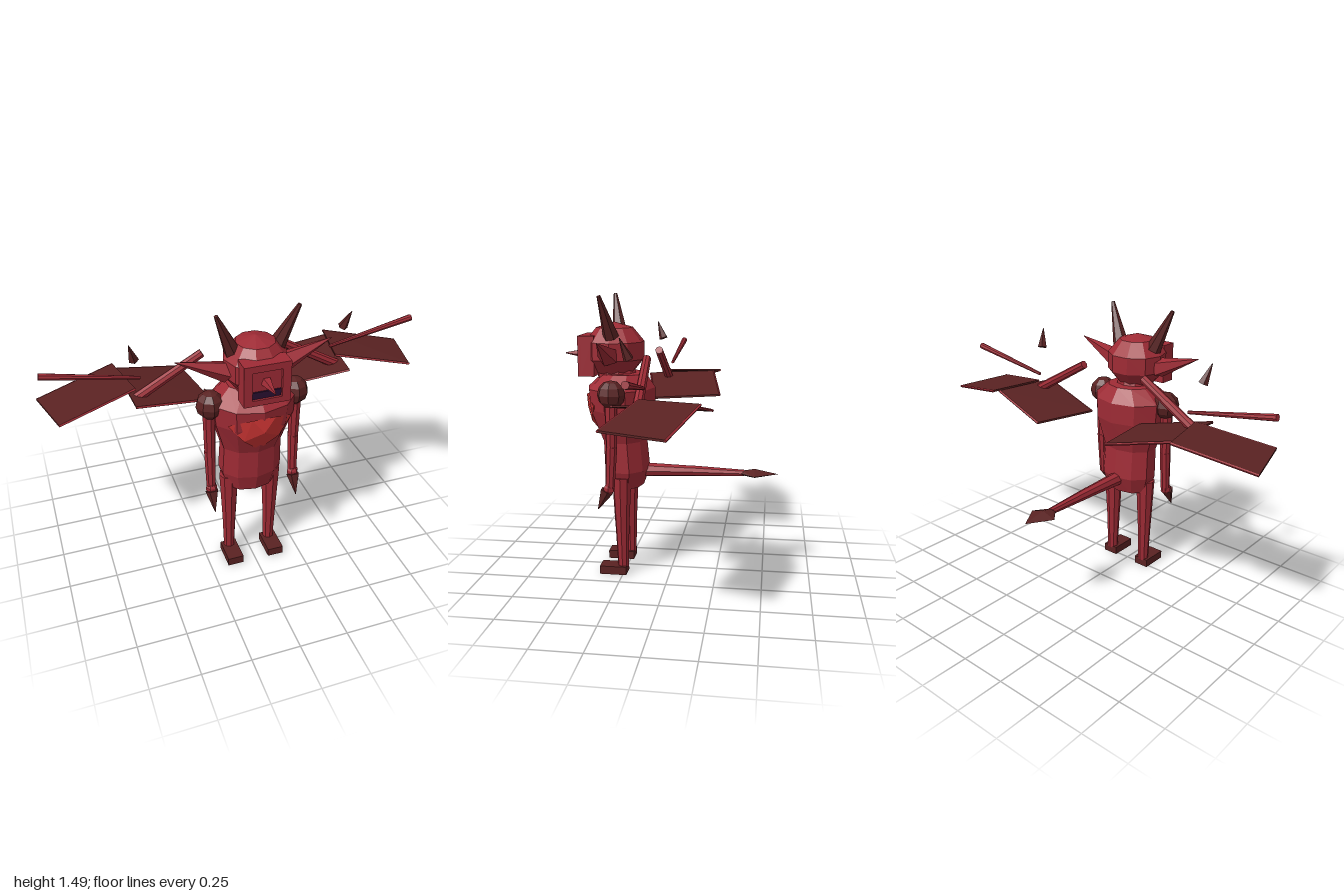
import * as THREE from 'three';
import { ConvexGeometry } from 'three/addons/geometries/ConvexGeometry.js';

const V = (x, y, z) => new THREE.Vector3(x, y, z);

export function createModel() {
  const root = new THREE.Group();
  root.name = 'wingedImp';
  const material = (name, color) => {
    const m = new THREE.MeshStandardMaterial({ color });
    m.name = name;
    m.flatShading = true;
    return m;
  };
  const skin = material('crimson skin', 0x9e2b35);
  const dark = material('dark maroon', 0x5a2222);
  const bright = material('bright red', 0xcc3433);
  const black = material('mouth purple', 0x2a1030);

  const add = (name, geo, mat, x = 0, y = 0, z = 0) => {
    const mesh = new THREE.Mesh(geo, mat);
    mesh.name = name;
    mesh.position.set(x, y, z);
    root.add(mesh);
    return mesh;
  };
  const box = (name, w, h, d, mat, x, y, z) => add(name, new THREE.BoxGeometry(w, h, d), mat, x, y, z);
  // Tapered rod from point a to point b
  const rod = (name, a, b, ra, rb, mat, sides = 8) => {
    const dir = b.clone().sub(a);
    const mesh = add(name, new THREE.CylinderGeometry(rb, ra, dir.length(), sides), mat);
    mesh.position.copy(a).addScaledVector(dir, 0.5);
    mesh.quaternion.setFromUnitVectors(V(0, 1, 0), dir.normalize());
    return mesh;
  };

  // Torso: elliptical rings [y, half width, half depth, centre z]
  const rings = [
    [0.47, 0.001, 0.001, 0.25], [0.475, 0.135, 0.095, 0.25], [0.57, 0.165, 0.125, 0.245],
    [0.73, 0.16, 0.12, 0.255], [0.9, 0.212, 0.178, 0.267], [1.01, 0.22, 0.182, 0.27],
    [1.085, 0.13, 0.115, 0.255], [1.09, 0.001, 0.001, 0.26],
  ];
  const torso = new THREE.LatheGeometry(rings.map(r => new THREE.Vector2(r[1], r[0])), 10);
  const p = torso.attributes.position;
  for (let i = 0; i < p.count; i++) {
    const [, rx, rz, cz] = rings[i % rings.length];
    p.setZ(i, p.getZ(i) * rz / rx + cz);
  }
  torso.computeVertexNormals();
  add('torso', torso, skin);

  // Faceted chest patch
  const patch = [V(0, 0.9, 0.458), V(0, 0.75, 0.378), V(0, 0.86, 0.36)];
  for (const s of [-1, 1]) {
    patch.push(V(s * 0.165, 0.93, 0.388), V(s * 0.06, 0.975, 0.447), V(s * 0.09, 0.84, 0.415));
  }
  add('chestPatch', new ConvexGeometry(patch), bright);

  // Head and face
  add('head', new THREE.SphereGeometry(0.165, 10, 5), skin, 0, 1.205, 0.305).scale.y = 0.89;
  rod('neck', V(0, 1.04, 0.29), V(0, 1.1, 0.3), 0.11, 0.1, skin, 10);
  box('muzzle', 0.23, 0.21, 0.07, skin, 0, 1.18, 0.427);
  const frame = new THREE.Shape();
  frame.moveTo(-0.115, -0.105).lineTo(0.115, -0.105).lineTo(0.115, 0.105).lineTo(-0.115, 0.105);
  const hole = new THREE.Path();
  hole.moveTo(-0.073, -0.075).lineTo(-0.073, 0.07).lineTo(0.073, 0.07).lineTo(0.073, -0.075);
  frame.holes.push(hole);
  add('faceFrame', new THREE.ExtrudeGeometry(frame, { depth: 0.016, bevelEnabled: false }),
    skin, 0, 1.18, 0.462);
  box('mouth', 0.14, 0.035, 0.008, black, 0, 1.125, 0.466);
  rod('nose', V(0, 1.185, 0.46), V(0, 1.185, 0.572), 0.028, 0.003, skin, 5);

  // Tail: two tapered segments and a flat diamond tip
  rod('tailBase', V(0, 0.555, 0.17), V(0, 0.557, -0.12), 0.04, 0.028, skin);
  rod('tailEnd', V(0, 0.557, -0.1), V(0, 0.555, -0.39), 0.03, 0.018, skin);
  add('tailTip', new ConvexGeometry([
    V(0, 0.555, -0.57), V(0.078, 0.555, -0.445), V(-0.078, 0.555, -0.445),
    V(0, 0.58, -0.445), V(0, 0.53, -0.445),
    V(0.02, 0.555, -0.375), V(-0.02, 0.555, -0.375), V(0, 0.567, -0.375), V(0, 0.543, -0.375),
  ]), dark);

  for (const s of [-1, 1]) {
    const side = s > 0 ? 'left' : 'right';
    const P = (x, y, z) => V(s * x, y, z);

    // Horn and ear
    rod(side + 'Horn', P(0.11, 1.28, 0.3), P(0.2, 1.49, 0.34), 0.042, 0.01, dark, 6);
    rod(side + 'Ear', P(0.14, 1.185, 0.31), P(0.388, 1.275, 0.31), 0.055, 0.002, skin, 5);

    // Arm
    add(side + 'Shoulder', new THREE.SphereGeometry(0.073, 8, 6), dark, s * 0.217, 1, 0.282);
    rod(side + 'UpperArm', P(0.224, 0.98, 0.283), P(0.224, 0.71, 0.283), 0.034, 0.028, skin);
    rod(side + 'Forearm', P(0.224, 0.73, 0.283), P(0.224, 0.5, 0.295), 0.03, 0.024, skin);
    add(side + 'Hand', new THREE.SphereGeometry(0.031, 6, 5), skin, s * 0.224, 0.505, 0.3);
    rod(side + 'HandClaw', P(0.224, 0.495, 0.312), P(0.224, 0.392, 0.36), 0.036, 0.002, dark, 5);

    // Leg
    rod(side + 'Thigh', P(0.115, 0.54, 0.255), P(0.115, 0.265, 0.255), 0.052, 0.038, skin);
    rod(side + 'Shin', P(0.115, 0.275, 0.255), P(0.115, 0.035, 0.252), 0.038, 0.029, skin);
    box(side + 'Foot', 0.086, 0.045, 0.145, dark, s * 0.115, 0.0225, 0.302);

    // Wing bones and claw
    rod(side + 'WingArm', P(0.2, 1.185, 0.1), P(0.54, 0.985, 0.09), 0.022, 0.026, skin);
    rod(side + 'WingFinger', P(0.505, 1.083, 0.065), P(0.98, 1.17, 0.053), 0.009, 0.018, skin);
    rod(side + 'WingClaw', P(0.54, 1.22, 0.125), P(0.565, 1.318, 0.162), 0.026, 0.002, dark, 5);

    // Wing membranes: thin slabs with red rims along the front and back edges
    const slabs = {
      InnerMembrane: [[0.23, 0.935, -0.235], [0.165, 0.922, 0.12], [0.56, 1.005, 0.205], [0.59, 1.02, -0.17]],
      OuterMembrane: [[0.595, 1.028, -0.21], [0.535, 1.032, 0.08], [0.925, 0.966, 0.185], [1, 0.952, -0.11]],
    };
    for (const [part, corners] of Object.entries(slabs)) {
      const pts = corners.map(c => P(...c));
      const both = pts.flatMap(c => [c.clone().setY(c.y + 0.005), c.clone().setY(c.y - 0.005)]);
      add(side + part, new ConvexGeometry(both), dark);
      rod(side + part + 'BackRim', pts[0], pts[3], 0.007, 0.007, skin, 4);
      rod(side + part + 'FrontRim', pts[1], pts[2], 0.007, 0.007, skin, 4);
    }
  }
  return root;
}
